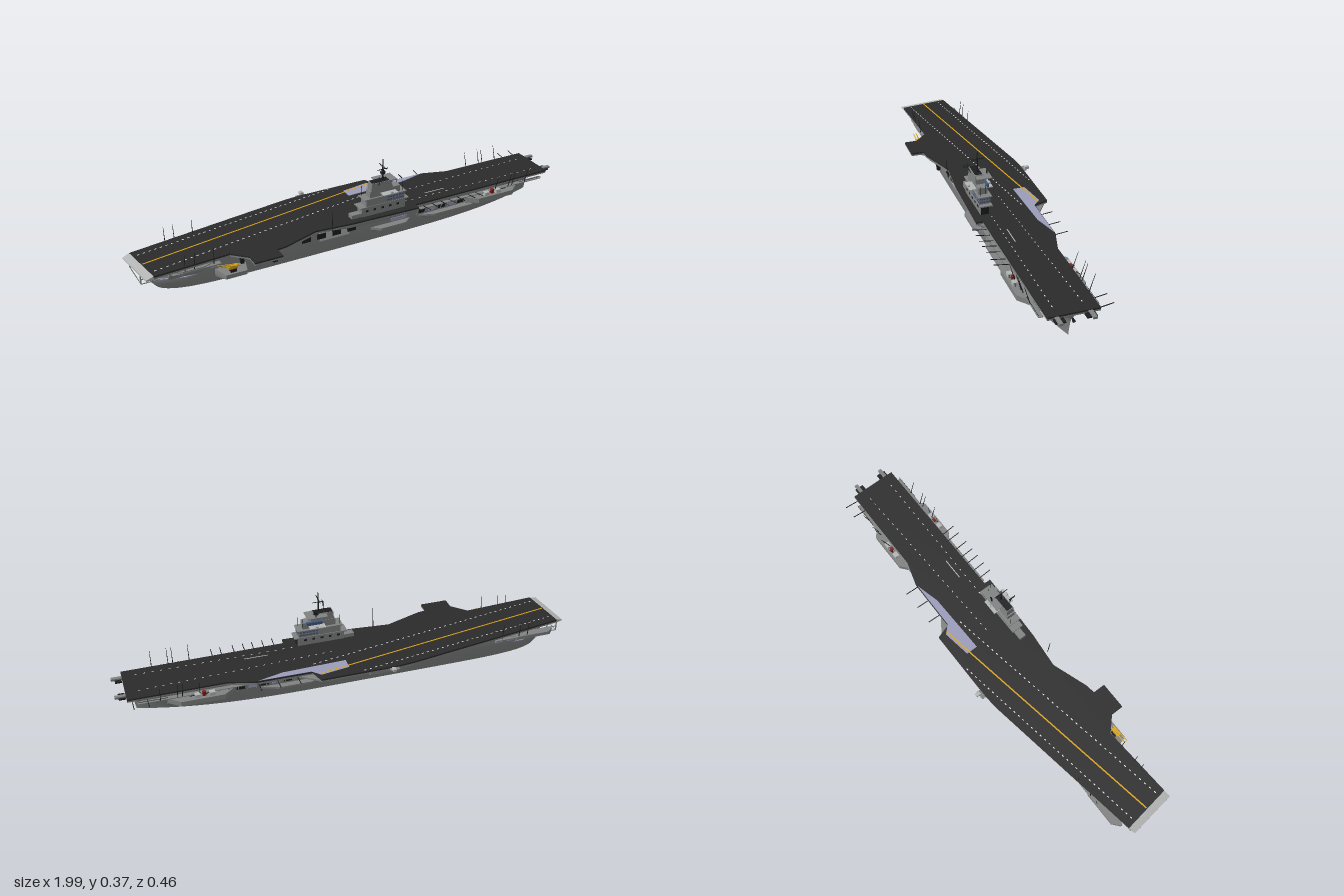
import * as THREE from 'three';

export function createModel() {
  const root = new THREE.Group();
  root.name = 'aircraftCarrier';
  const mat = (name, color, side = THREE.FrontSide) => {
    const m = new THREE.MeshStandardMaterial({ color, side });
    m.name = name;
    return m;
  };
  const grey = mat('hull grey', 0x808282, THREE.DoubleSide);
  const dark = mat('deck charcoal', 0x2b2b2b);
  const black = mat('black fittings', 0x1c1d1f, THREE.DoubleSide);
  const lilac = mat('pale violet panels', 0x9a9cba, THREE.DoubleSide);
  const light = mat('light grey', 0xb4b6b6);
  const yellow = mat('yellow', 0xd9a318);
  const white = mat('white paint', 0xe4e4e4);
  const red = mat('red', 0x8c1c1c);
  const glass = mat('blue glass', 0x44587e);

  const add = (name, geo, m) => {
    const mesh = new THREE.Mesh(geo, m);
    mesh.name = name;
    root.add(mesh);
    return mesh;
  };
  const box = (name, m, x0, x1, y0, y1, z0, z1) => {
    const mesh = add(name, new THREE.BoxGeometry(x1 - x0, y1 - y0, z1 - z0), m);
    mesh.position.set((x0 + x1) / 2, (y0 + y1) / 2, (z0 + z1) / 2);
    return mesh;
  };
  const rod = (name, m, a, b, r = 0.0015, r2 = r) => {
    const A = new THREE.Vector3(...a), d = new THREE.Vector3(...b).sub(A);
    const mesh = add(name, new THREE.CylinderGeometry(r2, r, d.length(), 6), m);
    mesh.position.copy(A).addScaledVector(d, 0.5);
    mesh.quaternion.setFromUnitVectors(new THREE.Vector3(0, 1, 0), d.normalize());
    return mesh;
  };
  // Skin through equal-length sections; closed rings get end caps
  const loft = (sections, closed, smooth) => {
    const n = sections[0].length, idx = [];
    for (let i = 0; i < sections.length - 1; i++)
      for (let j = 0; j < (closed ? n : n - 1); j++) {
        const a = i * n + j, b = i * n + (j + 1) % n;
        idx.push(a, b, a + n, b, b + n, a + n);
      }
    if (closed) for (let j = 1; j < n - 1; j++) {
      const e = (sections.length - 1) * n;
      idx.push(0, j + 1, j, e, e + j, e + j + 1);
    }
    let g = new THREE.BufferGeometry();
    g.setAttribute('position', new THREE.Float32BufferAttribute(sections.flat(2), 3));
    g.setIndex(idx);
    if (!smooth) g = g.toNonIndexed();
    g.computeVertexNormals();
    return g;
  };
  const slab = (name, pts, y0, y1, m) => {
    const s = new THREE.Shape(pts.map(([x, z]) => new THREE.Vector2(x, -z)));
    const g = new THREE.ExtrudeGeometry(s, { depth: y1 - y0, bevelEnabled: false });
    g.rotateX(-Math.PI / 2).translate(0, y0, 0);
    return add(name, g, m);
  };

  // Hull: rows are y, stern x, bow x, half breadth, bow fullness
  const rows = [
    [0, -0.90, 0.90, 0.090, 3.2], [0.03, -0.925, 0.905, 0.096, 3.6], [0.06, -0.93, 0.912, 0.1, 4.6],
    [0.08, -0.905, 0.92, 0.1, 6], [0.098, -0.90, 0.932, 0.1, 10], [0.114, -0.90, 0.94, 0.1, 30],
  ];
  for (const side of [1, -1]) {
    const stations = [];
    for (let i = 0; i <= 56; i++) {
      const t = Math.sin((i / 28 - 1) * Math.PI / 2);
      stations.push(rows.map(([y, xs, xb, w, p]) => {
        const f = t > 0 ? 1 - t ** p : Math.sqrt(Math.max(0, 1 - t ** 8));
        return [(xs + xb) / 2 + t * (xb - xs) / 2, y, side * w * f];
      }));
    }
    add(side > 0 ? 'hullLeft' : 'hullRight', loft(stations, false, true), grey);
  }
  slab('hangarDeck', [[-0.9, -0.06], [-0.8, -0.09], [0.6, -0.08], [0.6, 0.08], [-0.8, 0.09], [-0.9, 0.06]], 0.055, 0.058, lilac);
  slab('bowHold', [[0.6, -0.08], [0.7, -0.06], [0.85, 0], [0.7, 0.06], [0.6, 0.08]], 0.055, 0.058, dark);

  // Flight deck with its angled landing strip and side lift
  const outline = [[-0.97, -0.08], [-0.24, -0.198], [-0.17, -0.204], [0.16, -0.204], [0.18, -0.14], [0.42, -0.138],
    [0.53, -0.105], [0.94, -0.105], [0.94, 0.1], [0.24, 0.105], [0.24, 0.135], [-0.08, 0.125],
    [-0.24, 0.11], [-0.4, 0.165], [-0.44, 0.17], [-0.44, 0.225], [-0.56, 0.225], [-0.56, 0.17],
    [-0.62, 0.112], [-0.94, 0.133]];
  slab('deckUnderside', outline, 0.111, 0.118, grey);
  slab('flightDeck', outline, 0.118, 0.125, dark);
  const ramp = [[-0.97, -0.08], [-0.94, 0.133], [-0.972, 0.137], [-1, -0.072]];
  add('sternRamp', loft([ramp.map(([x, z], i) => [x, i < 2 ? 0.125 : 0.117, z]),
    ramp.map(([x, z]) => [x, 0.111, z])], true), light);
  slab('deckStep', [[0.025, -0.152], [0.15, -0.172], [0.185, -0.138], [0.41, -0.136],
    [0.3, -0.108], [0.025, -0.1]], 0.125, 0.126, lilac);

  // Painted deck lines
  const stripe = (name, m, a, b, w, dashes = 1, fill = 1) => {
    const dx = b[0] - a[0], dz = b[1] - a[1], len = Math.hypot(dx, dz) / dashes * fill;
    for (let i = 0; i < dashes; i++) {
      const k = (i + 0.5) / dashes;
      const s = add(name, new THREE.BoxGeometry(len, 0.001, w), m);
      s.position.set(a[0] + dx * k, 0.1257, a[1] + dz * k);
      s.rotation.y = -Math.atan2(dz, dx);
    }
  };
  stripe('landingLine', yellow, [-0.95, 0.028], [0.16, -0.163], 0.006);
  stripe('landingEdgeDash', white, [-0.955, -0.045], [-0.02, -0.196], 0.004, 38, 0.35);
  stripe('landingEdgeDash', white, [-0.935, 0.1], [0.17, -0.09], 0.004, 42, 0.35);
  stripe('takeoffDash', white, [0.05, -0.02], [0.9, -0.055], 0.003, 26, 0.25);
  stripe('takeoffDash', white, [0.2, 0.06], [0.9, 0.06], 0.003, 20, 0.25);
  stripe('deckMark', light, [0.33, 0.035], [0.43, 0.035], 0.004);

  // Tapered overhang supports: entries are x, outer z, lower y
  const overhang = (name, m, s, list) => add(name, loft(list.map(([x, out, low]) => [
    [x, 0.112, s * 0.095], [x, 0.112, s * out], [x, 0.105, s * out], [x, low, s * 0.095]]), true), m);
  overhang('aftDeckSupport', grey, -1, [[-0.62, 0.1, 0.1], [-0.42, 0.155, 0.085], [-0.24, 0.192, 0.07]]);
  overhang('angledDeckPanel', lilac, -1, [[-0.24, 0.192, 0.07], [-0.14, 0.197, 0.07]]);
  overhang('angledDeckSupport', grey, -1, [[-0.14, 0.197, 0.07], [0.07, 0.196, 0.07]]);
  overhang('deckEndLattice', black, -1, [[0.07, 0.196, 0.07], [0.16, 0.19, 0.085]]);
  overhang('forwardSupport', grey, -1, [[0.16, 0.19, 0.085], [0.24, 0.135, 0.095], [0.42, 0.132, 0.1], [0.52, 0.1, 0.1]]);
  overhang('liftBracket', grey, 1, [[-0.43, 0.162, 0.1], [-0.38, 0.155, 0.095], [-0.24, 0.105, 0.1]]);
  overhang('islandSupport', grey, 1, [[-0.2, 0.105, 0.1], [-0.08, 0.12, 0.085], [0.23, 0.13, 0.085], [0.26, 0.1, 0.1]]);

  // Chamfered gun and boat sponsons
  const sponson = (name, s, x0, x1, out, top, mid, low, d = 0.05) =>
    add(name, loft([[x0, 0.097], [x0 + d, out], [x1 - d, out], [x1, 0.097]].map(([x, o]) => [
      [x, top, s * 0.085], [x, top, s * o], [x, mid, s * o], [x, low, s * 0.085]]), true), grey);
  for (const s of [1, -1]) {
    sponson('bowSponson', s, 0.5, 0.78, 0.138, 0.09, 0.068, 0.045);
    for (const x of [0.6, 0.66]) {
      box('gunMount', light, x - 0.012, x + 0.012, 0.09, 0.105, s * 0.12 - 0.01, s * 0.12 + 0.01);
      rod('gunBarrel', black, [x, 0.1, s * 0.12], [x + 0.035, 0.106, s * 0.13]);
    }
    box('fireGear', red, 0.625, 0.64, 0.09, 0.11, s * 0.117 - 0.006, s * 0.117 + 0.006);
    box('sideGallery', grey, -0.86, -0.66, 0.092, 0.096, s * 0.108 - 0.012, s * 0.108 + 0.012);
    box('sideGallery', grey, 0.26, 0.9, 0.1, 0.103, s * 0.108 - 0.01, s * 0.108 + 0.01);
    rod('galleryRail', black, [0.78, 0.11, s * 0.117], [0.9, 0.11, s * 0.117], 0.001);
    // Bow horns, anchors and portholes
    box('bridleHorn', grey, 0.93, 0.985, 0.113, 0.122, s * 0.065 - 0.008, s * 0.065 + 0.008);
    box('hornNet', black, 0.942, 0.97, 0.11, 0.116, s * 0.06 - 0.02, s * 0.06 + 0.02);
    rod('anchor', black, [0.885, 0.058, s * 0.021], [0.89, 0.044, s * 0.026], 0.004, 0.007);
    for (let i = 0; i < 7; i++) {
      const x = 0.71 + i * 0.025, z = s * 0.1 * (1 - (x / 0.925) ** 7.5);
      box('porthole', black, x - 0.003, x + 0.003, 0.086, 0.091, z - 0.004, z + 0.004);
    }
    // Tall whip aerials
    for (const x of [-0.81, -0.77, -0.69, 0.65, 0.72, 0.74, 0.81])
      rod('whipAerial', black, [x, 0.1, s * 0.115], [x, 0.178, s * (x < 0 ? 0.125 : 0.138)], 0.002, 0.0008);
    for (const x of s > 0 ? [0.28, 0.325, 0.37, 0.41, 0.455, 0.51, 0.55] : [0.245, 0.33, 0.41, 0.86, 0.92])
      rod('foldedAerial', black, [x, 0.108, s * 0.105], [x, 0.117, s * (s > 0 || x > 0.6 ? 0.165 : 0.195)], 0.0018);
    // Stern supports and fantail
    for (const x of [-0.975, -0.93])
      rod('sternPost', grey, [x, 0.065, s * 0.07], [x, 0.113, s * 0.07], 0.003);
    for (const y of [0.065, 0.085]) rod('sternRail', grey, [-0.975, y, s * 0.07], [-0.9, y, s * 0.07], 0.002);
  }
  rod('sternCrossRail', grey, [-0.975, 0.065, -0.07], [-0.975, 0.065, 0.07], 0.002);
  sponson('sternGunSponson', -1, -0.94, -0.73, 0.122, 0.1, 0.085, 0.06, 0.03);
  sponson('sternGunSponson', 1, -0.87, -0.68, 0.118, 0.1, 0.085, 0.06);
  sponson('cranePlatform', 1, -0.68, -0.55, 0.165, 0.063, 0.045, 0.025, 0.02);
  sponson('boatPlatform', 1, 0.02, 0.22, 0.13, 0.066, 0.055, 0.035, 0.04);
  sponson('sidePlatform', 1, 0.25, 0.6, 0.125, 0.066, 0.058, 0.045, 0.08);
  sponson('boatPlatform', -1, -0.25, -0.05, 0.128, 0.055, 0.045, 0.025, 0.03);
  sponson('sidePlatform', -1, 0.1, 0.4, 0.125, 0.066, 0.058, 0.045, 0.08);

  // Hull wall openings and doors, layered outward
  for (const s of [1, -1]) {
    const panel = (m, x0, x1, y0, y1, t = 0.002) =>
      box('wallPanel', m, x0, x1, y0, y1, s * 0.1 - t, s * 0.1 + t);
    if (s > 0) {
      panel(black, -0.57, -0.43, 0.066, 0.11);
      panel(grey, -0.555, -0.445, 0.066, 0.1, 0.0035);
    }
    panel(light, -0.22, -0.08, 0.064, 0.11);
    for (let i = 0; i < 4; i++) panel(black, -0.3 + i * 0.07, -0.26 + i * 0.07, 0.076, 0.1, 0.0035);
    panel(lilac, 0.12, 0.2, 0.07, 0.085);
    for (let i = 0; i < 6; i++) panel(i % 2 ? lilac : black, 0.26 + i * 0.05, 0.295 + i * 0.05, 0.074, 0.097);
    for (let i = 0; i < 3; i++) panel(lilac, -0.82 + i * 0.06, -0.785 + i * 0.06, 0.074, 0.088);
    for (let i = 0; i < 9; i++)
      rod('galleryBrace', grey, [0.25 + i * 0.04, 0.066, s * 0.1], [0.25 + i * 0.04, 0.101, s * 0.116], 0.002);
  }
  box('liftGuide', black, -0.435, -0.415, 0.03, 0.112, 0.098, 0.112);
  box('liftGuide', black, -0.575, -0.56, 0.05, 0.112, 0.098, 0.112);

  // Yellow boat crane
  box('craneBase', black, -0.635, -0.61, 0.063, 0.078, 0.13, 0.155);
  box('craneCab', yellow, -0.645, -0.605, 0.078, 0.09, 0.135, 0.155);
  for (const z of [0.14, 0.152]) rod('craneJib', yellow, [-0.595, 0.086, z], [-0.685, 0.1, z], 0.003, 0.002);

  // Landing sight on the angled deck edge
  box('landingSightPlatform', grey, -0.175, -0.135, 0.115, 0.119, -0.222, -0.195);
  box('landingSight', light, -0.155, -0.14, 0.119, 0.13, -0.235, -0.215);
  rod('signalMast', black, [-0.175, 0.115, 0.13], [-0.175, 0.205, 0.138], 0.0015);

  // Island superstructure, stacked from the deck up
  box('islandBase', grey, -0.02, 0.19, 0.125, 0.17, 0.063, 0.1);
  box('islandFrontShade', black, 0.19, 0.192, 0.126, 0.166, 0.064, 0.099);
  box('islandAft', grey, -0.065, -0.02, 0.125, 0.142, 0.066, 0.096);
  box('lowerCatwalk', grey, -0.03, 0.205, 0.166, 0.171, 0.052, 0.106);
  box('bridge', grey, 0.0, 0.185, 0.171, 0.202, 0.055, 0.104);
  for (const y of [0.178, 0.191]) for (let i = 0; i < 6; i++) {
    box('bridgeWindow', glass, 0.184, 0.187, y, y + 0.007, 0.057 + i * 0.0077, 0.0625 + i * 0.0077);
    for (const z of [0.055, 0.104])
      box('bridgeWindow', glass, 0.1 + i * 0.014, 0.11 + i * 0.014, y, y + 0.007, z - 0.001, z + 0.001);
  }
  box('bridgeRoof', grey, -0.01, 0.192, 0.202, 0.206, 0.05, 0.108);
  box('upperBridge', grey, 0.02, 0.165, 0.206, 0.235, 0.062, 0.1);
  box('sidePlatformUpper', light, 0.07, 0.14, 0.217, 0.221, 0.03, 0.13);
  for (const z of [0.035, 0.125]) {
    const lamp = add('searchlight', new THREE.CylinderGeometry(0.005, 0.005, 0.012, 10), light);
    lamp.rotation.z = Math.PI / 2;
    lamp.position.set(0.11, 0.225, z);
  }
  box('upperLookout', glass, 0.08, 0.15, 0.226, 0.24, 0.05, 0.062);
  const funnel = new THREE.BoxGeometry(0.105, 0.037, 0.036);
  const fp = funnel.attributes.position;
  for (let i = 0; i < fp.count; i++) if (fp.getY(i) > 0) fp.setX(i, fp.getX(i) * 0.85 - 0.005);
  add('funnel', funnel, grey).position.set(0.078, 0.2515, 0.082);
  box('funnelMouth', black, 0.032, 0.112, 0.27, 0.272, 0.067, 0.097);
  box('radarPlatform', grey, 0.06, 0.15, 0.264, 0.268, 0.035, 0.1);
  for (let i = 0; i < 5; i++)
    box('baseWindow', black, 0.0 + i * 0.037, 0.012 + i * 0.037, 0.145, 0.154, 0.062, 0.101);

  // Mast, yards and radars
  rod('mast', black, [0.09, 0.27, 0.081], [0.09, 0.355, 0.081], 0.0045, 0.002);
  rod('mastTip', black, [0.09, 0.35, 0.081], [0.09, 0.366, 0.081], 0.003, 0.001);
  rod('yard', black, [0.09, 0.332, 0.048], [0.09, 0.332, 0.114], 0.0015);
  rod('yard', black, [0.065, 0.318, 0.081], [0.115, 0.318, 0.081], 0.0015);
  for (const z of [0.05, 0.112]) rod('yardStay', black, [0.09, 0.332, z], [0.09, 0.325, 0.081], 0.001);
  rod('radarArm', black, [0.06, 0.25, 0.096], [0.06, 0.288, 0.115]);
  for (let i = 0; i < 3; i++)
    rod('radarGrid', black, [0.06, 0.286 + i * 0.005, 0.1], [0.06, 0.286 + i * 0.005, 0.132], 0.001);
  rod('dishPost', black, [0.11, 0.268, 0.045], [0.11, 0.284, 0.045], 0.002);
  const dish = add('radarDish', new THREE.SphereGeometry(0.016, 14, 5, 0, Math.PI * 2, 0, 0.8), black);
  dish.rotation.set(1.2, 0, 0.4);
  dish.position.set(0.115, 0.28, 0.035);
  for (const [x, z] of [[0.165, 0.07], [0.03, 0.09], [0.18, 0.095], [0.0, 0.06]])
    rod('islandAerial', black, [x, 0.2, z], [x, 0.25, z], 0.0012);
  return root;
}
